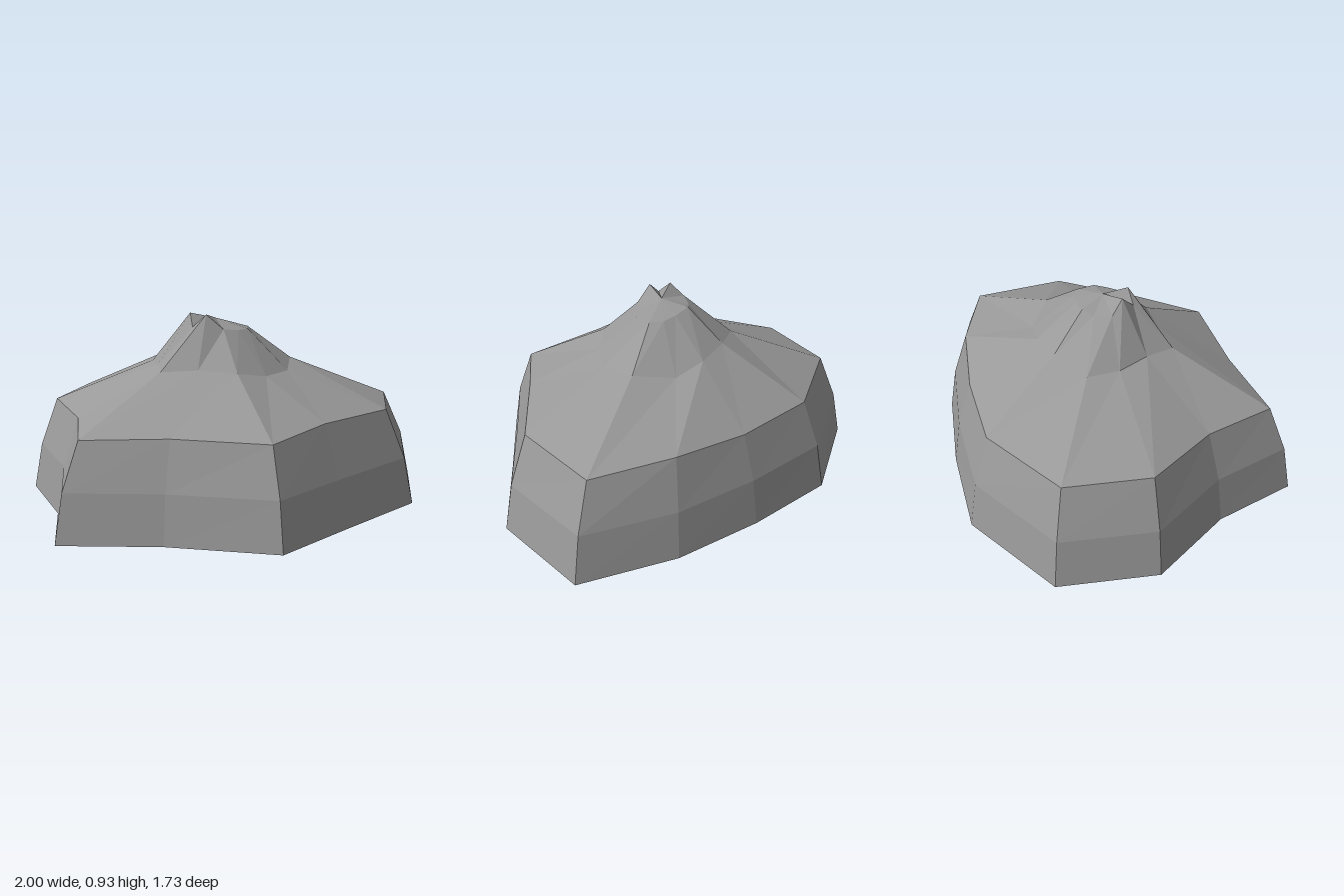
import * as THREE from 'three';

// Cross-sections around an off-centre axis, twelve corners each: [x, y, z]
const base = [
  [1, 0, 0], [0.75, 0, 0.47], [0.28, 0, 0.68], [-0.11, 0, 0.86],
  [-0.56, 0, 0.59], [-1, 0, 0.41], [-0.91, 0, 0], [-0.94, 0, -0.455],
  [-0.66, 0, -0.84], [-0.11, 0, -0.865], [0.3, 0, -0.635], [0.67, 0, -0.37],
];
const rim = [
  [0.835, 0.455, 0], [0.625, 0.47, 0.4], [0.21, 0.48, 0.58], [-0.11, 0.455, 0.737],
  [-0.5, 0.46, 0.51], [-0.87, 0.45, 0.355], [-0.795, 0.46, 0], [-0.82, 0.47, -0.395],
  [-0.58, 0.465, -0.72], [-0.11, 0.465, -0.738], [0.255, 0.455, -0.54], [0.565, 0.475, -0.315],
];
const shoulder = [
  [0.29, 0.68, 0], [0.2, 0.65, 0.175], [0.05, 0.65, 0.27], [-0.11, 0.68, 0.31],
  [-0.27, 0.69, 0.215], [-0.43, 0.68, 0.145], [-0.4, 0.69, 0], [-0.38, 0.68, -0.16],
  [-0.31, 0.68, -0.3], [-0.11, 0.71, -0.315], [0.06, 0.69, -0.27], [0.19, 0.65, -0.18],
];
const crown = [
  [0.06, 0.85, 0], [0.03, 0.85, 0.08], [-0.03, 0.85, 0.11], [-0.11, 0.86, 0.125],
  [-0.185, 0.93, 0.09], [-0.245, 0.87, 0.065], [-0.235, 0.93, 0], [-0.24, 0.87, -0.07],
  [-0.17, 0.86, -0.12], [-0.11, 0.875, -0.135], [-0.03, 0.86, -0.1], [0.03, 0.85, -0.06],
];
const apex = base.map(() => [-0.11, 0.9, 0]);

// Ring part-way up the skirt, giving the wall its bulge
const belly = base.map((p, i) => [
  THREE.MathUtils.lerp(p[0], rim[i][0], 0.33), 0.23, THREE.MathUtils.lerp(p[2], rim[i][2], 0.33),
]);

// Joins consecutive rings with outward-facing facets
function loft(rings) {
  const pos = [];
  for (let r = 0; r < rings.length - 1; r++) {
    const lo = rings[r], hi = rings[r + 1], n = lo.length;
    for (let i = 0; i < n; i++) {
      const j = (i + 1) % n;
      pos.push(...lo[i], ...hi[i], ...lo[j]);
      if (hi !== apex) pos.push(...lo[j], ...hi[i], ...hi[j]);
    }
  }
  const geo = new THREE.BufferGeometry();
  geo.setAttribute('position', new THREE.Float32BufferAttribute(pos, 3));
  geo.computeVertexNormals();
  return geo;
}

export function createModel() {
  const group = new THREE.Group();
  group.name = 'hollowMound';
  const grey = new THREE.MeshStandardMaterial({ color: 0x999999, flatShading: true, side: THREE.DoubleSide });
  grey.name = 'stone grey';

  const add = (name, rings) => {
    const mesh = new THREE.Mesh(loft(rings), grey);
    mesh.name = name;
    group.add(mesh);
  };
  add('skirtWall', [base, belly, rim]); // open underneath
  add('slopedRoof', [rim, shoulder, crown]);
  add('pinchedPeak', [crown, apex]);
  return group;
}
